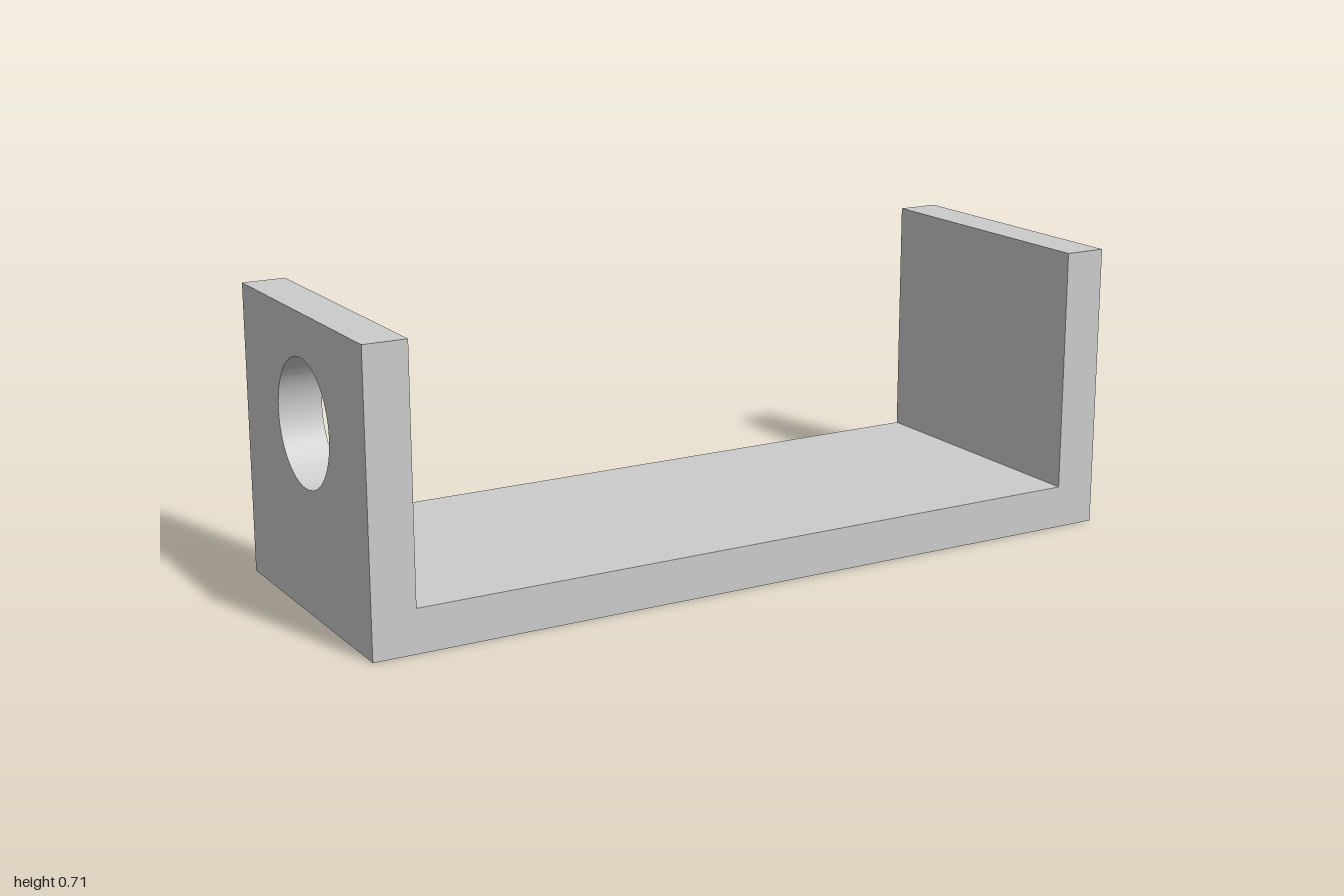
import * as THREE from 'three';
import { toCreasedNormals } from 'three/addons/utils/BufferGeometryUtils.js';

const LENGTH = 2, HEIGHT = 0.714, DEPTH = 0.714, THICK = 0.107;
const HOLE_Y = 0.456, HOLE_RADIUS = 0.153;

export function createModel() {
  const group = new THREE.Group();
  group.name = 'bracket';
  const material = new THREE.MeshStandardMaterial({ color: 0xcccccc });

  function add(name, geometry, x, y) {
    const mesh = new THREE.Mesh(geometry, material);
    mesh.name = name;
    mesh.position.set(x, y, 0);
    group.add(mesh);
  }

  // Base plate
  add('basePlate', new THREE.BoxGeometry(LENGTH, THICK, DEPTH), 0, THICK / 2);

  // Solid left wall, standing on the base
  const wallHeight = HEIGHT - THICK;
  const wallX = (LENGTH - THICK) / 2;
  add('leftWall', new THREE.BoxGeometry(THICK, wallHeight, DEPTH), wallX, THICK + wallHeight / 2);

  // Right wall with a round through hole, extruded along x
  const d = DEPTH / 2;
  const shape = new THREE.Shape();
  shape.moveTo(-d, THICK).lineTo(d, THICK).lineTo(d, HEIGHT).lineTo(-d, HEIGHT).closePath();
  shape.holes.push(new THREE.Path().absarc(0, HOLE_Y, HOLE_RADIUS, 0, Math.PI * 2, true));
  const wall = new THREE.ExtrudeGeometry(shape, { depth: THICK, bevelEnabled: false, curveSegments: 48 });
  wall.rotateY(Math.PI / 2);
  add('rightWallWithHole', toCreasedNormals(wall, 0.5), -LENGTH / 2, 0);

  return group;
}
